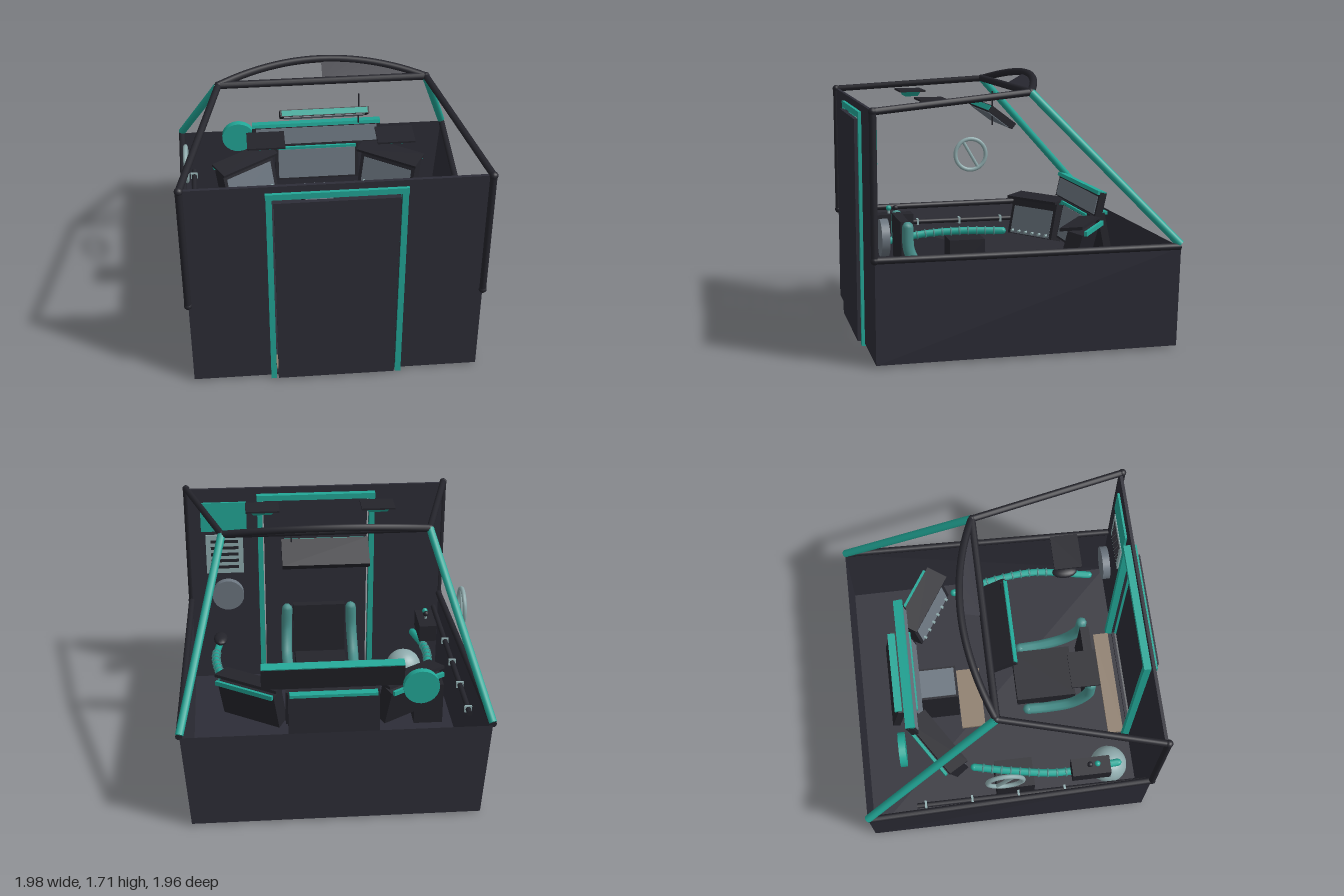
import * as THREE from 'three';

const V = (x, y, z) => new THREE.Vector3(x, y, z);
const paint = (name, color, side = THREE.FrontSide) => {
  const m = new THREE.MeshStandardMaterial({ color, side });
  m.name = name;
  return m;
};

export function createModel() {
  const root = new THREE.Group();
  root.name = 'cockpit';
  const hull = paint('hull charcoal', 0x2d2d37, THREE.DoubleSide);
  const dark = paint('frame black', 0x24242b);
  const teal = paint('teal trim', 0x22a797);
  const padTeal = paint('muted teal', 0x478f8b);
  const grey = paint('panel grey', 0x6b757f);
  const pale = paint('pale metal', 0x8fabad);
  const tan = paint('tan mat', 0x8d7d6c);

  const add = (name, geo, mat, pos = [0, 0, 0], rot = [0, 0, 0], parent = root) => {
    const m = new THREE.Mesh(geo, mat);
    m.name = name;
    m.position.set(...pos);
    m.rotation.set(...rot);
    parent.add(m);
    return m;
  };
  const box = (name, size, mat, pos, rot, parent) =>
    add(name, new THREE.BoxGeometry(...size), mat, pos, rot, parent);
  const bar = (name, a, b, r, mat, sides = 12) => {
    const m = add(name, new THREE.CylinderGeometry(r, r, a.distanceTo(b), sides), mat);
    m.position.copy(a).lerp(b, 0.5);
    m.quaternion.setFromUnitVectors(V(0, 1, 0), b.clone().sub(a).normalize());
    return m;
  };
  const tube = (name, pts, r, mat, sides = 10, closedEnds = true) => {
    add(name, new THREE.TubeGeometry(new THREE.CatmullRomCurve3(pts), 24, r, sides), mat);
    if (closedEnds) for (const p of [pts[0], pts[pts.length - 1]])
      add(name + 'End', new THREE.SphereGeometry(r, sides, 6), mat, p.toArray());
  };
  const faces = (name, quads, mat) => {
    const pos = [];
    for (const q of quads) for (let i = 1; i < q.length - 1; i++)
      for (const p of [q[0], q[i], q[i + 1]]) pos.push(...p);
    const g = new THREE.BufferGeometry();
    g.setAttribute('position', new THREE.Float32BufferAttribute(pos, 3));
    g.computeVertexNormals();
    add(name, g, mat);
  };

  // Tub: rectangular floor, sides flaring towards the back rim
  const low = [[-0.92, 0.02, 0.945], [0.92, 0.02, 0.945], [0.92, 0.02, -0.96], [-0.92, 0.02, -0.96]];
  const rim = [[-0.92, 0.66, 0.945], [0.92, 0.66, 0.945], [0.965, 0.66, -0.96], [-0.965, 0.66, -0.96]];
  const walls = [1, 2, 3].map(i => [low[i], low[(i + 1) % 4], rim[(i + 1) % 4], rim[i]]);
  faces('tub', [[low[3], low[2], low[1], low[0]], ...walls], hull);

  // Door wall with opening
  const wall = new THREE.Shape([[-0.92, 0.02], [0.92, 0.02], [0.92, 1.54], [-0.92, 1.54]]
    .map(p => new THREE.Vector2(...p)));
  wall.holes.push(new THREE.Path([[-0.385, 0.04], [-0.385, 1.46], [0.385, 1.46], [0.385, 0.04]]
    .map(p => new THREE.Vector2(...p))));
  add('doorWall', new THREE.ExtrudeGeometry(wall, { depth: 0.02, bevelEnabled: false }), hull, [0, 0, 0.925]);
  box('door', [0.75, 1.42, 0.025], hull, [0, 0.735, 0.972]);
  box('doorHeader', [0.85, 0.04, 0.085], teal, [0, 1.475, 0.922]);
  box('threshold', [0.77, 0.02, 0.11], tan, [0, 0.03, 0.84]);

  // Frame bars, mirrored
  for (const s of [-1, 1]) {
    box('doorPost', [0.036, 1.48, 0.085], teal, [s * 0.404, 0.745, 0.922]);
    const corner = V(s * 0.922, 1.54, 0.945), foot = V(s * 0.922, 0.66, 0.945);
    const apex = V(s * 0.67, 1.615, -0.07), tail = V(s * 0.965, 0.68, -0.955);
    bar('cornerPost', foot, corner, 0.022, dark);
    bar('rimBar', foot, V(s * 0.968, 0.667, -0.955), 0.022, dark);
    bar('roofBar', corner, apex, 0.022, dark);
    bar('slantPillar', apex, tail, 0.026, teal);
    for (const p of [foot, corner, apex]) add('joint', new THREE.SphereGeometry(0.026, 12, 8), dark, p.toArray());

    // Ceiling lamps
    box('lampPlate', [0.23, 0.012, 0.175], dark, [s * 0.395, 1.56, 0.5]);
    const lamp = new THREE.CylinderGeometry(0.075, 0.055, 0.03, 4).rotateY(Math.PI / 4).scale(1.6, 1, 1.1);
    lamp.computeVertexNormals();
    add('lampLens', lamp.toNonIndexed(), teal, [s * 0.395, 1.537, 0.5]);

    // Seat side tubes
    tube('seatTube', [V(s * 0.23, 0.72, 0.63), V(s * 0.235, 0.56, 0.62), V(s * 0.24, 0.41, 0.52),
      V(s * 0.235, 0.35, 0.36), V(s * 0.23, 0.34, 0.21)], 0.038, padTeal, 8);

    // Side hoses with ribs
    const path = [V(s * 0.65, 0.5, -0.22), V(s * 0.71, 0.5, 0.05), V(s * 0.75, 0.48, 0.36), V(s * 0.71, 0.42, 0.77)];
    tube('sideHose', path, 0.026, teal, 8);
    const curve = new THREE.CatmullRomCurve3(path);
    for (let i = 1; i < 12; i++) {
      const p = curve.getPointAt(i / 16);
      const rib = add('hoseRib', new THREE.TorusGeometry(0.027, 0.007, 5, 10), padTeal, p.toArray());
      rib.lookAt(p.clone().add(curve.getTangentAt(i / 16)));
    }

    // Angled wing consoles facing the seat
    const wing = new THREE.Group();
    wing.name = 'wingConsole';
    wing.position.set(s * 0.51, 0, -0.44);
    wing.rotation.y = -s * 0.57;
    root.add(wing);
    box('wingBody', [0.42, 0.26, 0.1], dark, [0, 0.6, 0], [-0.25, 0, 0], wing);
    box('wingTop', [0.46, 0.02, 0.15], dark, [0, 0.755, -0.01], [0.12, 0, 0], wing);
    box('wingScreen', [0.37, 0.2, 0.008], grey, [0, 0.587, 0.053], [-0.25, 0, 0], wing);
    box('wingTrim', [0.42, 0.03, 0.02], teal, [0, 0.725, -0.1], [0, 0, 0], wing);
    for (let i = 0; i < 6; i++)
      add('knob', new THREE.CylinderGeometry(0.01, 0.01, 0.025, 8), pale,
        [-0.16 + i * 0.064, 0.51, 0.083], [Math.PI / 2, 0, 0], wing);
  }

  // Cross bar, arch and half canopy panel
  bar('crossBar', V(-0.67, 1.615, -0.07), V(0.67, 1.615, -0.07), 0.024, dark);
  const archPts = [];
  for (let i = -6; i <= 6; i++) {
    const k = 1 - (i / 6) ** 2;
    archPts.push(V(i * 0.1117, 1.615 + 0.08 * k, -0.07 - 0.14 * k));
  }
  tube('roofArch', archPts, 0.024, dark);
  faces('canopyPanel', [[[0, 1.615, -0.07], [0.67, 1.615, -0.07],
    ...archPts.slice(6, 12).reverse().map(p => p.toArray())]], hull);

  // Overhead console and pull cord
  const over = new THREE.Group();
  over.name = 'overheadConsole';
  over.position.set(0, 1.425, 0.015);
  over.rotation.x = -0.65;
  root.add(over);
  box('overheadBody', [0.57, 0.045, 0.2], dark, [0, 0, 0], [0, 0, 0], over);
  box('overheadTrim', [0.55, 0.035, 0.008], teal, [0, 0, 0.102], [0, 0, 0], over);
  box('overheadPanel', [0.52, 0.008, 0.16], grey, [0, -0.024, 0], [0, 0, 0], over);
  bar('pullCord', V(0.22, 1.37, 0.065), V(0.22, 1.59, 0.065), 0.005, dark, 6);

  // Main console: tall screen, lower screen, rear unit, pedestal
  box('upperScreenBody', [0.91, 0.16, 0.045], dark, [0, 0.855, -0.605], [-0.22, 0, 0]);
  box('upperScreen', [0.86, 0.12, 0.008], grey, [0, 0.85, -0.58], [-0.22, 0, 0]);
  box('upperScreenTrim', [0.91, 0.025, 0.06], teal, [0, 0.93, -0.612], [-0.22, 0, 0]);
  box('lowerScreenBody', [0.6, 0.27, 0.05], dark, [0, 0.63, -0.58], [-0.2, 0, 0]);
  box('lowerScreen', [0.55, 0.22, 0.008], grey, [0, 0.627, -0.552], [-0.2, 0, 0]);
  box('lowerScreenTrim', [0.56, 0.02, 0.015], teal, [0, 0.76, -0.56]);
  box('rearUnit', [0.58, 0.28, 0.05], dark, [0, 0.63, -0.69], [0.2, 0, 0]);
  box('rearUnitTrim', [0.56, 0.02, 0.05], teal, [0, 0.77, -0.685]);
  add('consoleDrum', new THREE.CylinderGeometry(0.115, 0.115, 0.045, 24), teal, [-0.555, 0.8, -0.68], [Math.PI / 2, 0, 0]);
  box('pedestal', [0.23, 0.43, 0.28], dark, [0, 0.235, -0.41]);
  box('pedestalTop', [0.2, 0.008, 0.25], grey, [0, 0.453, -0.41]);
  box('footMat', [0.445, 0.02, 0.17], tan, [0, 0.03, -0.18]);

  // Seat
  box('seatCushion', [0.36, 0.1, 0.41], dark, [0, 0.36, 0.345]);
  box('seatBack', [0.37, 0.4, 0.06], dark, [0, 0.55, 0.635], [0.03, 0, 0]);
  add('seatPost', new THREE.CylinderGeometry(0.07, 0.1, 0.3, 16), dark, [0, 0.17, 0.36]);

  // Round side handle
  add('handleRing', new THREE.TorusGeometry(0.115, 0.015, 8, 32), pale, [-0.91, 1.035, -0.04], [0, Math.PI / 2, 0]);
  bar('handleSpoke', V(-0.91, 1.135, 0.018), V(-0.91, 0.935, -0.098), 0.012, pale, 8);

  // Wall pipe with clips
  bar('wallPipe', V(-0.885, 0.55, -0.63), V(-0.885, 0.55, 0.92), 0.018, dark);
  for (let i = 0; i < 4; i++) box('pipeClip', [0.05, 0.045, 0.014], pale, [-0.885, 0.55, -0.57 + i * 0.313]);

  // Lever box, side box and control stick
  box('leverBox', [0.12, 0.12, 0.26], dark, [-0.77, 0.58, 0.56]);
  for (const [z, m] of [[0.55, dark], [0.6, teal]]) {
    bar('lever', V(-0.77, 0.63, z), V(-0.77, 0.68, z), 0.008, pale, 8);
    add('leverKnob', new THREE.SphereGeometry(0.02, 10, 8), m, [-0.77, 0.68, z]);
  }
  box('sideBox', [0.2, 0.3, 0.26], dark, [-0.71, 0.3, 0.05]);
  add('armPad', new THREE.SphereGeometry(0.05, 16, 10).scale(1, 0.6, 1.8), dark, [0.715, 0.515, 0.59]);

  // Floor dome
  add('helmet', new THREE.SphereGeometry(0.13, 24, 16), pale, [-0.645, 0.15, 0.735]);

  // Door wall fittings
  add('wallDrum', new THREE.CylinderGeometry(0.115, 0.115, 0.05, 24), grey, [0.65, 0.745, 0.85], [Math.PI / 2, 0, 0]);
  box('wallPanel', [0.33, 0.22, 0.014], teal, [0.665, 1.33, 0.915]);
  box('ventPlate', [0.27, 0.3, 0.014], pale, [0.665, 1.04, 0.915]);
  for (let i = 0; i < 5; i++) box('ventSlot', [0.2, 0.022, 0.008], dark, [0.665, 0.94 + i * 0.05, 0.907]);

  return root;
}
